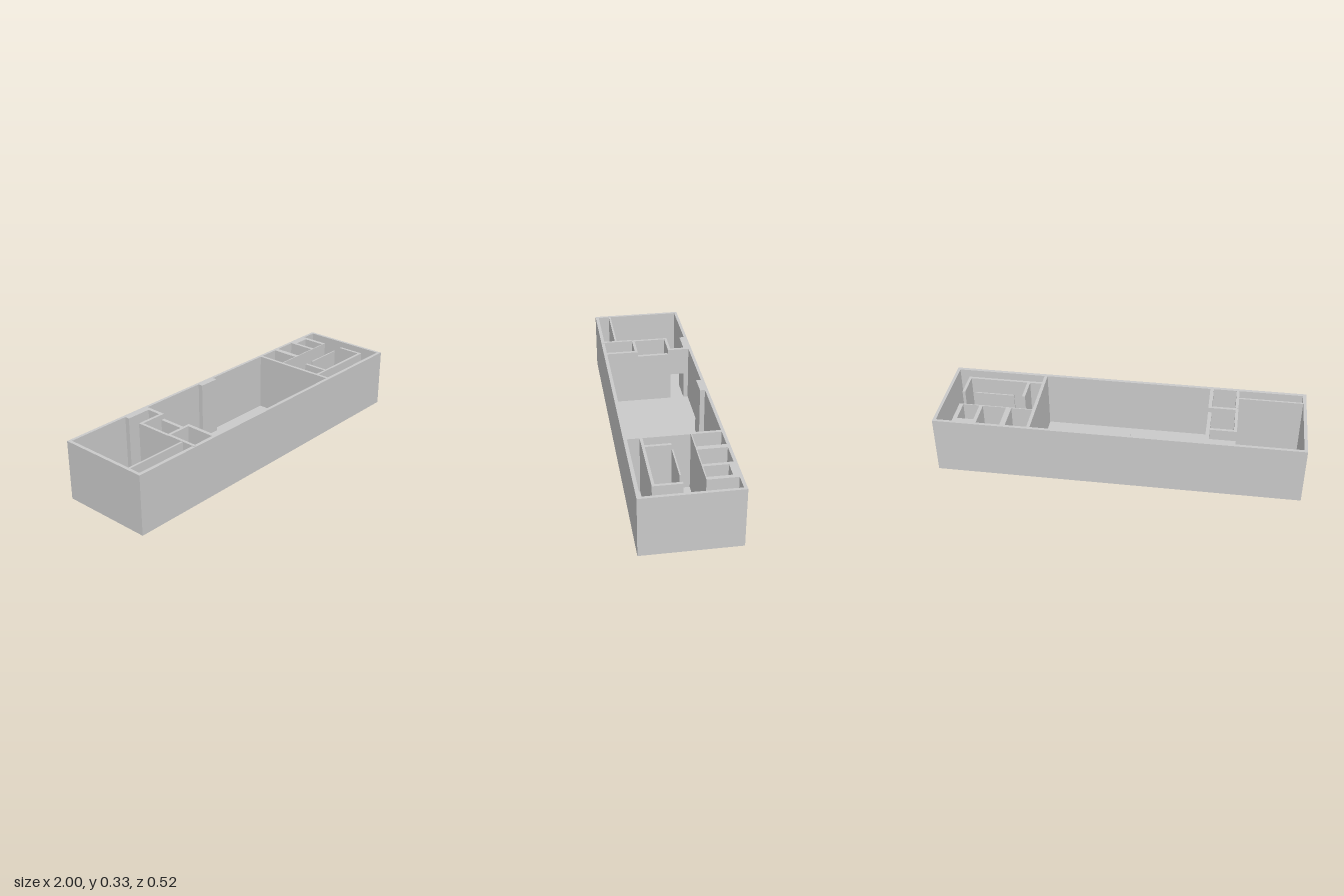
import * as THREE from 'three';

const FLOOR = 0.006, TOP = 0.331;

export function createModel() {
  const model = new THREE.Group();
  const grey = new THREE.MeshStandardMaterial({ color: 0xc9c9c9 });
  grey.name = 'plaster grey';

  const add = (name, geometry) => {
    const mesh = new THREE.Mesh(geometry, grey);
    mesh.name = name;
    model.add(mesh);
  };
  // Box given by its limits on x, y and z
  const block = (name, x0, x1, y0, y1, z0, z1) => {
    const g = new THREE.BoxGeometry(x1 - x0, y1 - y0, z1 - z0);
    add(name, g.translate((x0 + x1) / 2, (y0 + y1) / 2, (z0 + z1) / 2));
  };
  // Floor plan outlines use (x, z) points
  const toPoints = (list) => list.map(([x, z]) => new THREE.Vector2(x, -z));
  const rect = (x0, x1, z0, z1) => [[x0, z0], [x1, z0], [x1, z1], [x0, z1]];

  // Left room, alcove, open closet and main hall, joined by openings
  const hall = [
    [-0.982, -0.244], [-0.627, -0.244], [-0.627, -0.217], [-0.466, -0.217], [-0.466, -0.244],
    [-0.073, -0.244], [-0.073, -0.217], [0.045, -0.217], [0.045, -0.244], [0.468, -0.244],
    [0.468, 0.242], [-0.466, 0.242], [-0.466, 0.06], [-0.614, 0.06], [-0.614, -0.121],
    [-0.466, -0.121], [-0.466, -0.137], [-0.63, -0.137], [-0.63, 0.167], [-0.982, 0.167],
  ];
  // Right room wrapping around the U-shaped partition
  const rightRoom = [
    [0.486, -0.084], [0.896, -0.084], [0.896, -0.244], [0.983, -0.244], [0.983, 0.242],
    [0.486, 0.242], [0.486, 0.178], [0.911, 0.178], [0.911, 0.028], [0.895, 0.028],
    [0.895, 0.163], [0.57, 0.163], [0.57, 0.028], [0.553, 0.028], [0.553, 0.163], [0.486, 0.163],
  ];
  const rooms = [
    hall,
    rightRoom,
    rect(-0.982, -0.63, 0.178, 0.242),   // front corridor
    rect(-0.614, -0.486, 0.076, 0.242),  // stair room
    rect(0.486, 0.603, -0.244, -0.09),   // three small back rooms
    rect(0.633, 0.763, -0.244, -0.09),
    rect(0.783, 0.873, -0.217, -0.09),
  ];

  // Walls: the plan (wound counterclockwise) with the rooms cut out
  const plan = new THREE.Shape(toPoints(rect(-1, 1, -0.261, 0.261)).reverse());
  for (const room of rooms) plan.holes.push(new THREE.Path(toPoints(room)));
  const walls = new THREE.ExtrudeGeometry(plan, { depth: TOP - FLOOR, bevelEnabled: false });
  add('walls', walls.rotateX(-Math.PI / 2).translate(0, FLOOR, 0));

  block('floor', -1, 1, 0, FLOOR, -0.261, 0.261);
  block('doorLintel', -0.486, -0.466, 0.167, TOP, -0.217, -0.137);
  block('closetLowWall', -0.486, -0.466, FLOOR, 0.302, -0.121, 0.06);
  block('freestandingPanel', 0.615, 0.837, FLOOR, TOP, 0.027, 0.035);
  block('raisedWallCap', -0.63, -0.614, TOP, 0.334, 0.077, 0.255);

  // Stairs rising towards the corridor
  const steps = 5, run = 0.017, rise = 0.03;
  for (let i = 0; i < steps; i++) {
    const x = -0.614 + i * run;
    block('stairStep', x, x + run, FLOOR, FLOOR + (steps - i) * rise, 0.178, 0.242);
  }
  return model;
}
